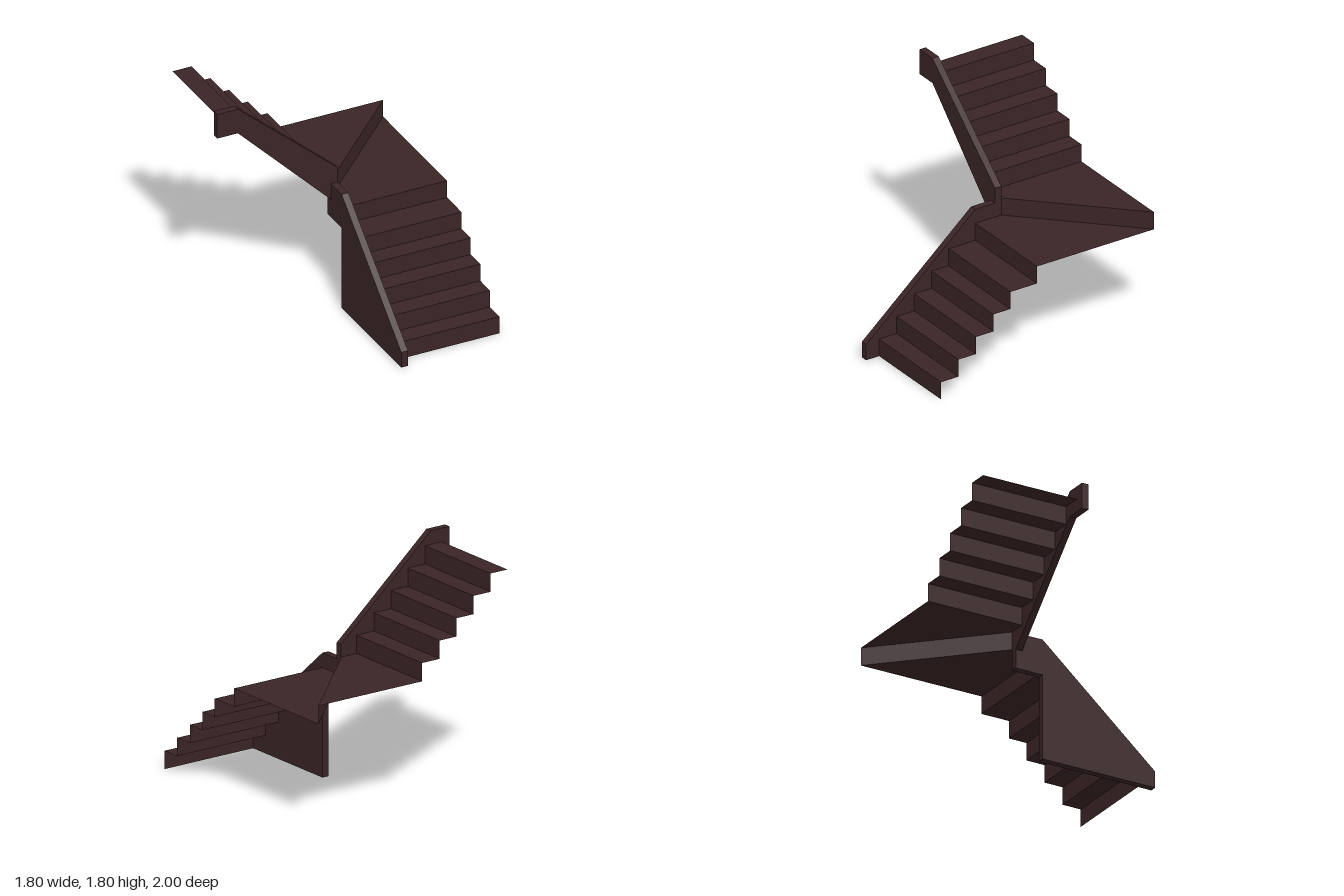
import * as THREE from 'three';

const RISE = 0.1417;
const INNER_X = 0.09, OUTER_X = 0.9;     // width of the lower flight
const INNER_Z = -0.195, OUTER_Z = -1;    // width of the upper flight

const darkWood = new THREE.MeshStandardMaterial({ color: 0x3b2526, side: THREE.DoubleSide });
darkWood.name = 'darkWood';

// Flat convex board from its corners, counter-clockwise seen from its face
function board(name, corners) {
  const geometry = new THREE.BufferGeometry();
  geometry.setAttribute('position', new THREE.Float32BufferAttribute(corners.flat(), 3));
  const index = [];
  for (let i = 1; i < corners.length - 1; i++) index.push(0, i, i + 1);
  geometry.setIndex(index);
  geometry.computeVertexNormals();
  const mesh = new THREE.Mesh(geometry, darkWood);
  mesh.name = name;
  return mesh;
}

// Horizontal board from [x, z] corners
const tread = (name, y, corners) => board(name, corners.map(([x, z]) => [x, y, z]));

// Vertical board between two [x, z] points, one rise high
const riser = (name, y, [ax, az], [bx, bz]) =>
  board(name, [[ax, y, az], [bx, y, bz], [bx, y + RISE, bz], [ax, y + RISE, az]]);

// Solid plank extruded from a side profile
function plank(name, profile, depth) {
  const shape = new THREE.Shape(profile.map(([x, y]) => new THREE.Vector2(x, y)));
  const mesh = new THREE.Mesh(
    new THREE.ExtrudeGeometry(shape, { depth, bevelEnabled: false }), darkWood);
  mesh.name = name;
  return mesh;
}

export function createModel() {
  const model = new THREE.Group();
  model.name = 'winderStaircase';

  // Lower flight, climbing towards the back
  const lowerFlight = new THREE.Group();
  lowerFlight.name = 'lowerFlight';
  const zs = [0.885, 0.73, 0.575, 0.42, 0.27, 0.035];
  zs.forEach((z, i) => {
    lowerFlight.add(riser('lowerRiser', i * RISE, [INNER_X, z], [OUTER_X, z]));
    if (i < zs.length - 1) {
      const back = zs[i + 1];
      lowerFlight.add(tread('lowerTread', (i + 1) * RISE,
        [[INNER_X, z], [OUTER_X, z], [OUTER_X, back], [INNER_X, back]]));
    }
  });

  // Two corner winders with a diagonal riser between them
  const winders = new THREE.Group();
  winders.name = 'winders';
  const pivot = [INNER_X, INNER_Z], corner = [OUTER_X, OUTER_Z];
  const xs = [-0.05, -0.21, -0.365, -0.52, -0.675, -0.83];
  winders.add(
    tread('lowerWinder', 6 * RISE, [[INNER_X, zs[5]], [OUTER_X, zs[5]], corner, pivot]),
    riser('diagonalRiser', 6 * RISE, pivot, corner),
    tread('upperWinder', 7 * RISE, [pivot, corner, [xs[0], OUTER_Z], [xs[0], INNER_Z]]));

  // Upper flight, climbing towards -x
  const upperFlight = new THREE.Group();
  upperFlight.name = 'upperFlight';
  for (let i = 0; i < xs.length - 1; i++) {
    const x = xs[i], next = xs[i + 1], y = (7 + i) * RISE;
    upperFlight.add(
      riser('upperRiser', y, [x, INNER_Z], [x, OUTER_Z]),
      tread('upperTread', y + RISE,
        [[x, INNER_Z], [x, OUTER_Z], [next, OUTER_Z], [next, INNER_Z]]));
  }

  // Lower stringer and the panel under it: profiles in (-z, y), turned to run along z
  const lowerStringer = plank('lowerStringer', [
    [-1, 0], [-0.83, 0], [-0.035, 0.68], [0.195, 0.68],
    [0.195, 0.965], [-0.035, 0.965], [-1, 0.13]], 0.055);
  const sidePanel = plank('sidePanel', [[-0.83, 0], [-0.035, 0], [-0.035, 0.68]], 0.055);
  for (const part of [lowerStringer, sidePanel]) {
    part.rotation.y = Math.PI / 2;
    part.position.x = 0.035;
  }

  // Upper stringer
  const upperStringer = plank('upperStringer', [
    [-0.9, 1.6], [-0.73, 1.6], [0.035, 0.83], [0.09, 0.83],
    [0.09, 1.09], [-0.73, 1.805], [-0.9, 1.805]], 0.055);
  upperStringer.position.z = INNER_Z;

  model.add(lowerFlight, winders, upperFlight, lowerStringer, sidePanel, upperStringer);
  return model;
}
